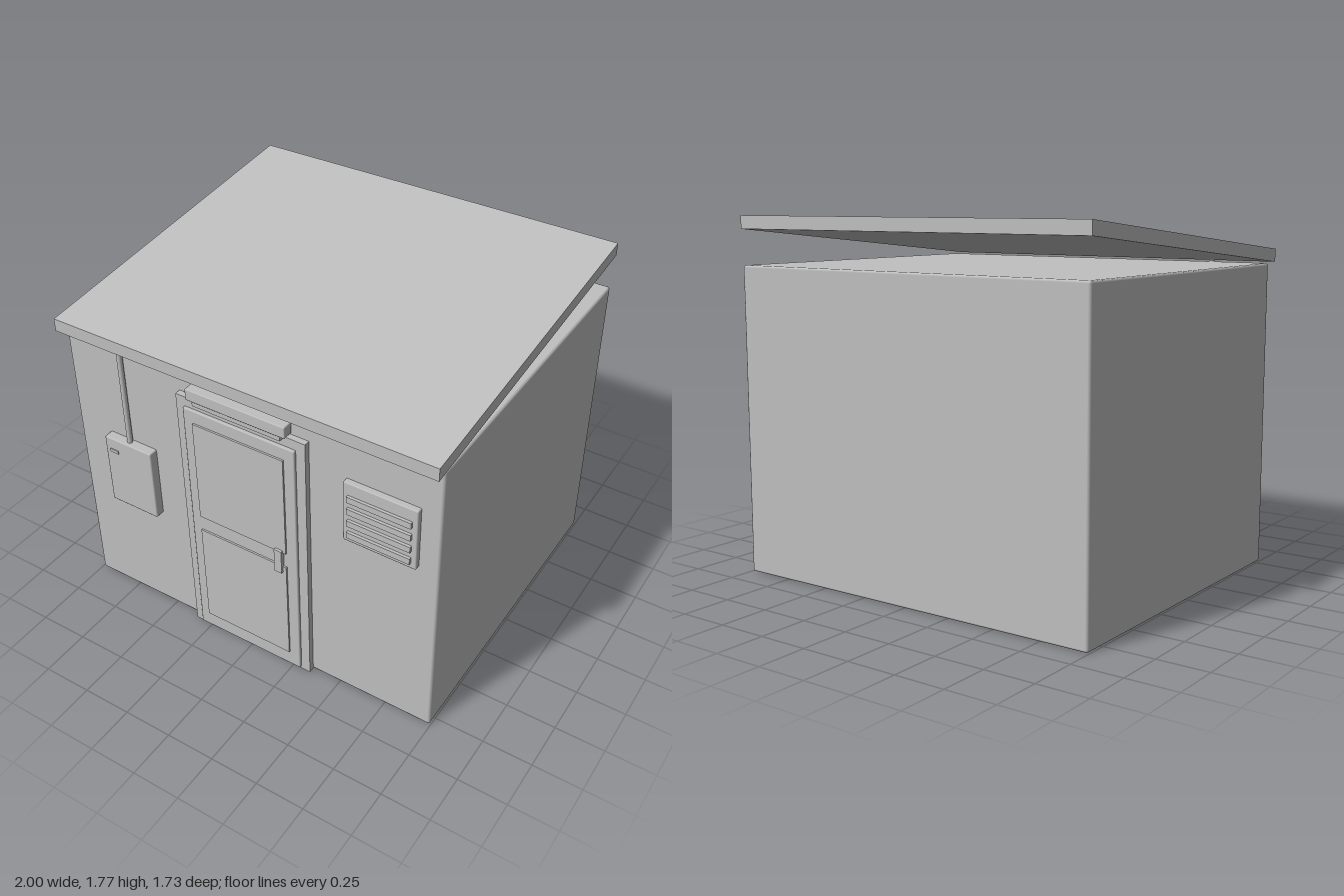
import * as THREE from 'three';
import { RoundedBoxGeometry } from 'three/addons/geometries/RoundedBoxGeometry.js';

export function createModel() {
  const hut = new THREE.Group();
  hut.name = 'utilityHut';
  const grey = new THREE.MeshStandardMaterial({ color: 0xc0c0c0 });
  grey.name = 'plain grey';

  const add = (name, geometry, parent = hut) => {
    const mesh = new THREE.Mesh(geometry, grey);
    mesh.name = name;
    parent.add(mesh);
    return mesh;
  };
  // Box given by its limits on each axis; bevel > 0 softens the edges
  const block = (name, [x0, x1], [y0, y1], [z0, z1], bevel = 0, parent = hut) => {
    const size = [x1 - x0, y1 - y0, z1 - z0];
    const geometry = bevel
      ? new RoundedBoxGeometry(...size, 1, bevel)
      : new THREE.BoxGeometry(...size);
    const mesh = add(name, geometry, parent);
    mesh.position.set((x0 + x1) / 2, (y0 + y1) / 2, (z0 + z1) / 2);
    return mesh;
  };
  const group = (name) => {
    const g = new THREE.Group();
    g.name = name;
    hut.add(g);
    return g;
  };
  const wall = 0.8; // front wall plane

  // Main body
  block('body', [-0.995, 0.995], [0, 1.535], [-0.865, wall], 0.012);

  // Sloping roof slab with upright ends, floating above the walls at the back
  const roof = new THREE.BoxGeometry(2, 0.065, 1.73);
  const p = roof.attributes.position;
  for (let i = 0; i < p.count; i++) {
    p.setY(i, p.getY(i) + 1.657 - p.getZ(i) * (0.17 / 1.73));
  }
  roof.computeVertexNormals();
  add('roof', roof);

  // Door frame
  const frame = group('doorFrame');
  for (const s of [-1, 1]) {
    block('framePost', s < 0 ? [-0.345, -0.29] : [0.29, 0.345], [0, 1.42], [wall - 0.01, 0.83], 0, frame);
  }
  block('frameHeader', [-0.29, 0.29], [1.36, 1.42], [wall - 0.01, 0.83], 0, frame);

  // Door leaf, raised panels and handle
  const door = group('door');
  block('doorLeaf', [-0.3, 0.297], [0.015, 1.37], [wall - 0.01, 0.845], 0.006, door);
  block('upperPanel', [-0.245, 0.242], [0.755, 1.303], [0.84, 0.854], 0, door);
  block('lowerPanel', [-0.245, 0.242], [0.105, 0.67], [0.84, 0.854], 0, door);
  block('handle', [0.185, 0.225], [0.637, 0.77], [0.84, 0.867], 0, door);

  // Lamp above the door
  const lamp = group('doorLamp');
  block('lampHousing', [-0.265, 0.262], [1.435, 1.495], [0.806, 0.862], 0.005, lamp);
  block('lampDiffuser', [-0.235, 0.232], [1.408, 1.44], [0.822, 0.854], 0, lamp);

  // Electrical box, its label strip and the conduit up to the roof
  const electrics = group('electrics');
  block('electricalBox', [-0.802, -0.525], [0.607, 1], [wall - 0.01, 0.848], 0.007, electrics);
  block('boxLabel', [-0.775, -0.725], [0.92, 0.938], [0.845, 0.852], 0, electrics);
  const conduit = add('conduit', new THREE.CylinderGeometry(0.014, 0.014, 0.55, 16), electrics);
  conduit.position.set(-0.67, 1.267, 0.817);

  // Vent with four raised slats
  const vent = group('vent');
  block('ventPlate', [0.532, 0.897], [0.975, 1.304], [wall - 0.01, 0.828], 0.006, vent);
  for (let i = 0; i < 4; i++) {
    const y = 1.022 + i * 0.067;
    block('ventSlat', [0.557, 0.872], [y - 0.016, y + 0.016], [0.82, 0.842], 0, vent);
  }

  return hut;
}
